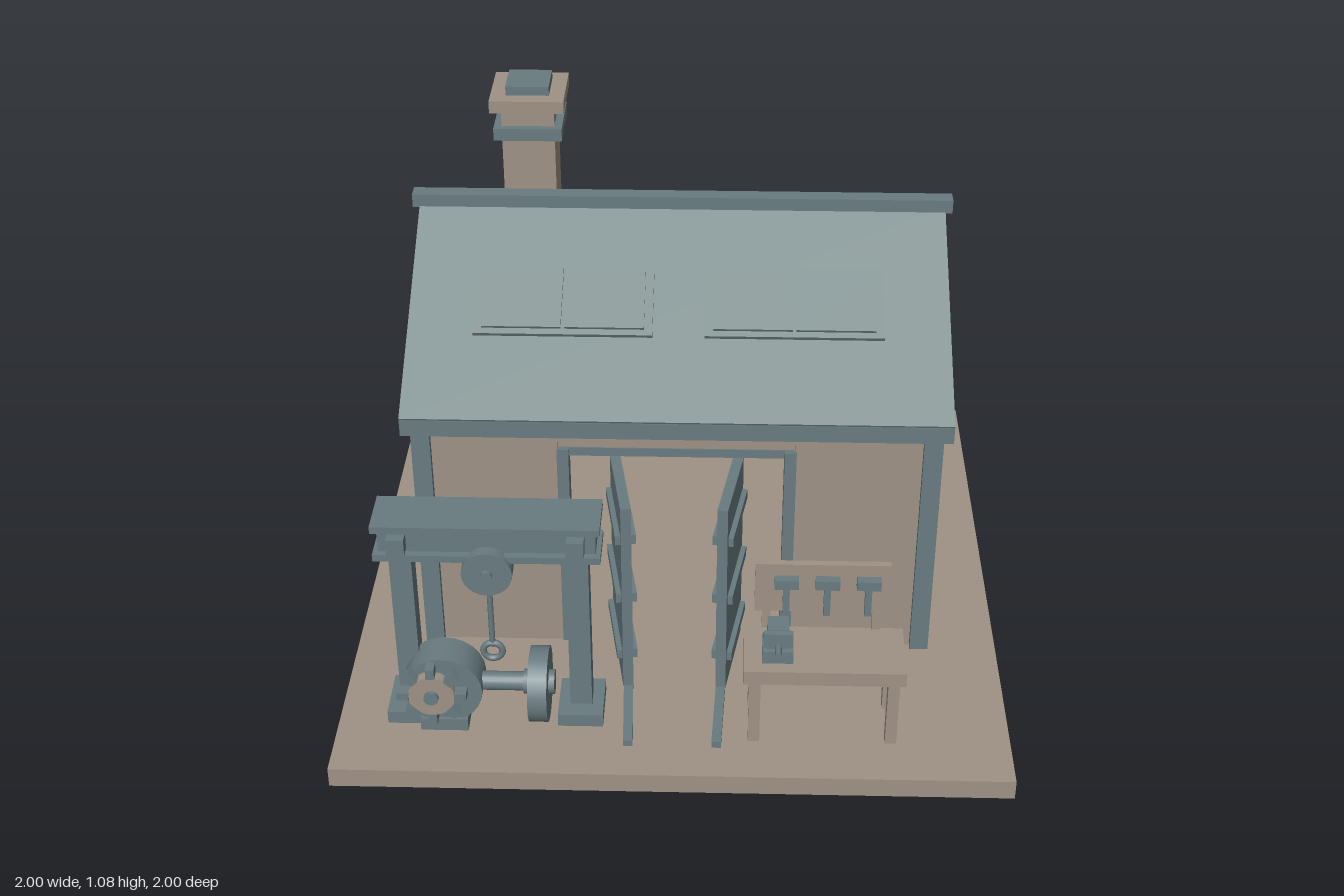
import * as THREE from 'three';

export function createModel() {
  const root = new THREE.Group();
  root.name = 'workshop';
  const mat = (name, color) => {
    const m = new THREE.MeshStandardMaterial({ color });
    m.name = name;
    return m;
  };
  const stone = mat('warm stone', 0x9f9285);
  const slate = mat('roof slate', 0x7b8b8b);
  const steel = mat('blue steel', 0x697b80);

  // the whole yard is turned 45 degrees: local x runs along the ridge, local z points out of the doors
  const yard = new THREE.Group();
  yard.name = 'yard';
  yard.rotation.y = Math.PI / 4;
  root.add(yard);

  const add = (name, geo, material, x, y, z, parent = yard) => {
    const m = new THREE.Mesh(geo, material);
    m.name = name;
    m.position.set(x, y, z);
    parent.add(m);
    return m;
  };
  const group = (name, x, y, z, parent = yard) => {
    const g = new THREE.Group();
    g.name = name;
    g.position.set(x, y, z);
    parent.add(g);
    return g;
  };
  // box given by its minimum and maximum corners
  const span = (name, material, x0, x1, y0, y1, z0, z1, parent = yard) =>
    add(name, new THREE.BoxGeometry(x1 - x0, y1 - y0, z1 - z0), material,
      (x0 + x1) / 2, (y0 + y1) / 2, (z0 + z1) / 2, parent);
  // cylinder lying along x, y or z
  const rod = (name, material, axis, r, len, x, y, z, parent = yard, sides = 20) => {
    const geo = new THREE.CylinderGeometry(r, r, len, sides);
    if (axis === 'x') geo.rotateZ(Math.PI / 2);
    if (axis === 'z') geo.rotateX(Math.PI / 2);
    return add(name, geo, material, x, y, z, parent);
  };

  const F = 0.045, TOP = 0.64; // floor and eave heights
  span('base', stone, -0.707, 0.707, 0, F, -0.707, 0.707);

  // walls, open in the middle of the front
  span('backWall', stone, -0.53, 0.53, F, TOP, -0.565, -0.535);
  for (const s of [-1, 1]) {
    add('sideWall', new THREE.BoxGeometry(0.03, TOP - F, 0.83), stone, s * 0.525, (TOP + F) / 2, -0.15);
    add('frontWall', new THREE.BoxGeometry(0.28, TOP - F, 0.03), stone, s * 0.39, (TOP + F) / 2, 0.255);
    add('doorPost', new THREE.BoxGeometry(0.025, 0.51, 0.04), steel, s * 0.24, F + 0.255, 0.255);
    for (const z of [-0.56, -0.15, 0.265])
      add('wallPost', new THREE.BoxGeometry(0.04, TOP - F, 0.04), steel, s * 0.537, (TOP + F) / 2, z);
  }
  span('doorHeader', stone, -0.25, 0.25, 0.555, TOP, 0.235, 0.262);
  span('doorLintel', steel, -0.25, 0.25, 0.535, 0.555, 0.235, 0.265);

  // rails across the right side wall
  for (const y of [0.175, 0.325, 0.48])
    for (const z of [-0.355, 0.057])
      add('wallRail', new THREE.BoxGeometry(0.012, 0.014, 0.37), steel, 0.545, y, z);

  // roof core with plain gables, covered by slate plates
  const RIDGE = 0.91, RZ = -0.17, HALF = 0.47;
  const gable = new THREE.Shape([
    new THREE.Vector2(RZ - HALF, TOP), new THREE.Vector2(RZ + HALF, TOP), new THREE.Vector2(RZ, RIDGE)]);
  const core = new THREE.ExtrudeGeometry(gable, { depth: 1.15, bevelEnabled: false });
  core.translate(0, 0, -0.575).rotateY(-Math.PI / 2);
  add('roofCore', core, stone, 0, 0, 0);
  const pitch = Math.atan2(RIDGE - TOP, HALF), slopeLen = HALF / Math.cos(pitch);
  const slopes = [0, Math.PI].map((turn) => {
    const holder = group('roofSlope', 0, RIDGE, RZ);
    holder.rotation.y = turn;
    const slope = group('slopePlane', 0, 0, 0, holder);
    slope.rotation.x = pitch;
    span('roofPlate', slate, -0.575, 0.575, 0, 0.006, 0, slopeLen, slope);
    return slope;
  });
  span('ridgeCap', steel, -0.59, 0.59, 0.905, 0.935, RZ - 0.018, RZ + 0.018);
  span('eaveBeam', steel, -0.575, 0.575, 0.602, TOP, 0.27, 0.302);

  // roof hatches on the front slope
  for (const s of [-1, 1]) {
    const h = group('roofHatch', s * 0.245, 0, 0.255, slopes[0]);
    span('hatchFrame', slate, -0.19, 0.19, 0.006, 0.016, -0.086, 0.086, h);
    for (const t of [-1, 1])
      add('hatchPanel', new THREE.BoxGeometry(0.168, 0.008, 0.145), slate, t * 0.088, 0.019, 0, h);
  }

  // chimney, stacked from square blocks
  const chimney = group('chimney', -0.355, 0, -0.45);
  for (const [name, m, w, y0, y1] of [
    ['chimneyStack', stone, 0.12, 0.66, 1.035], ['chimneyCollar', steel, 0.155, 0.963, 0.992],
    ['chimneyCap', stone, 0.168, 1.033, 1.062], ['chimneyTop', steel, 0.098, 1.062, 1.083]])
    span(name, m, -w / 2, w / 2, y0, y1, -w / 2, w / 2, chimney);

  // window on the left side wall
  const win = group('window', -0.54, 0.425, -0.365);
  for (const s of [-1, 1]) {
    add('windowSide', new THREE.BoxGeometry(0.04, 0.23, 0.03), stone, -0.01, 0, s * 0.122, win);
    add('windowRail', new THREE.BoxGeometry(0.04, 0.025, 0.27), stone, -0.01, s * 0.103, 0, win);
    add('windowPane', new THREE.BoxGeometry(0.009, 0.182, 0.102), steel, -0.005, 0, s * 0.054, win);
  }
  add('windowBar', new THREE.BoxGeometry(0.016, 0.182, 0.008), steel, -0.008, 0, 0, win);

  // peg gear whose axle lies along local z
  const gear = (x, y, z, r) => {
    const g = group('pegGear', x, y, z);
    rod('gearDisc', stone, 'z', r * 0.7, 0.022, 0, 0, 0, g, 16);
    rod('gearHub', steel, 'z', r * 0.22, 0.04, 0, 0, 0, g, 12);
    for (let i = 0; i < 8; i++) {
      const a = i * Math.PI / 4;
      const peg = add('gearPeg', new THREE.BoxGeometry(r * 0.36, 0.018, 0.026), steel,
        Math.cos(a) * r * 0.85, Math.sin(a) * r * 0.85, 0, g);
      peg.rotation.z = a;
    }
    return g;
  };
  gear(-0.575, 0.45, -0.01, 0.075).rotation.y = Math.PI / 2;
  rod('wallAxle', steel, 'x', 0.012, 0.06, -0.555, 0.45, -0.01);

  // open door leaves with battens, and the floor tracks before them
  for (const s of [-1, 1]) {
    const door = group('doorLeaf', s * 0.115, 0, 0.345);
    door.rotation.y = -s * 0.16;
    span('doorPanel', steel, -0.011, 0.011, 0.06, 0.525, -0.1, 0.1, door);
    for (const y of [0.14, 0.29, 0.44])
      add('doorBatten', new THREE.BoxGeometry(0.044, 0.022, 0.18), steel, 0, y, 0, door);
    const track = add('floorTrack', new THREE.BoxGeometry(0.02, 0.016, 0.2), steel, s * 0.096, F + 0.008, 0.52);
    track.rotation.y = -s * 0.04;
  }

  // hoist frame
  const hoist = group('hoist', -0.375, 0, 0.5);
  for (const s of [-1, 1]) {
    const x = s * 0.18;
    add('hoistFoot', new THREE.BoxGeometry(0.095, 0.03, 0.12), steel, x, F + 0.015, 0, hoist);
    add('hoistColumn', new THREE.BoxGeometry(0.046, 0.4, 0.046), steel, x, 0.27, 0, hoist);
    add('hoistBlock', new THREE.BoxGeometry(0.036, 0.036, 0.125), steel, x, 0.505, 0, hoist);
  }
  span('hoistTopFlange', steel, -0.23, 0.23, 0.534, 0.55, -0.055, 0.055, hoist);
  span('hoistBeam', steel, -0.22, 0.22, 0.475, 0.536, -0.035, 0.035, hoist);
  span('hoistLowFlange', steel, -0.23, 0.23, 0.462, 0.478, -0.05, 0.05, hoist);
  rod('pulley', steel, 'z', 0.052, 0.04, 0, 0.44, 0.04, hoist, 24);
  rod('pulleyPin', steel, 'z', 0.012, 0.07, 0, 0.44, 0.035, hoist, 10);
  rod('hoistRope', steel, 'y', 0.006, 0.18, 0, 0.325, 0.03, hoist, 8);
  add('hoistRing', new THREE.TorusGeometry(0.02, 0.007, 8, 20), steel, 0, 0.222, 0.03, hoist);

  // drum, axle and flywheel below the hoist
  rod('drum', steel, 'z', 0.083, 0.075, -0.48, 0.145, 0.535, yard, 24);
  span('drumFoot', steel, -0.53, -0.43, F, 0.075, 0.49, 0.58);
  rod('driveAxle', steel, 'x', 0.02, 0.22, -0.375, 0.145, 0.535);
  rod('flywheel', steel, 'x', 0.08, 0.04, -0.28, 0.135, 0.53, yard, 24);
  rod('flywheelHub', steel, 'x', 0.026, 0.065, -0.28, 0.145, 0.535, yard, 14);
  rod('gearAxle', steel, 'z', 0.014, 0.08, -0.495, 0.172, 0.58, yard, 10);
  gear(-0.495, 0.172, 0.612, 0.07);

  // workbench with tool board
  const bench = group('workbench', 0.313, 0, 0.53);
  span('benchTop', stone, -0.167, 0.167, 0.205, 0.238, -0.075, 0.075, bench);
  for (const sx of [-1, 1])
    for (const sz of [-1, 1])
      add('benchLeg', new THREE.BoxGeometry(0.024, 0.162, 0.024), stone, sx * 0.143, 0.125, sz * 0.055, bench);
  span('toolBoard', stone, -0.145, 0.135, 0.285, 0.405, -0.083, -0.068, bench);
  for (const x of [-0.12, 0.11])
    add('boardPost', new THREE.BoxGeometry(0.018, 0.06, 0.012), stone, x, 0.265, -0.076, bench);
  for (const x of [-0.08, 0.005, 0.09]) {
    add('hammerHead', new THREE.BoxGeometry(0.05, 0.022, 0.02), steel, x, 0.366, -0.058, bench);
    add('hammerHandle', new THREE.BoxGeometry(0.014, 0.075, 0.012), steel, x, 0.322, -0.06, bench);
  }
  const vise = group('vise', -0.097, 0.238, 0.017, bench);
  span('viseBase', steel, -0.032, 0.032, 0, 0.03, -0.03, 0.03, vise);
  span('viseBody', steel, -0.022, 0.022, 0.03, 0.08, -0.025, 0.02, vise);
  span('viseJaw', steel, -0.03, 0.03, 0.045, 0.08, 0.022, 0.036, vise);
  rod('viseScrew', steel, 'z', 0.007, 0.04, 0, 0.05, 0.045, vise, 8);

  return root;
}
